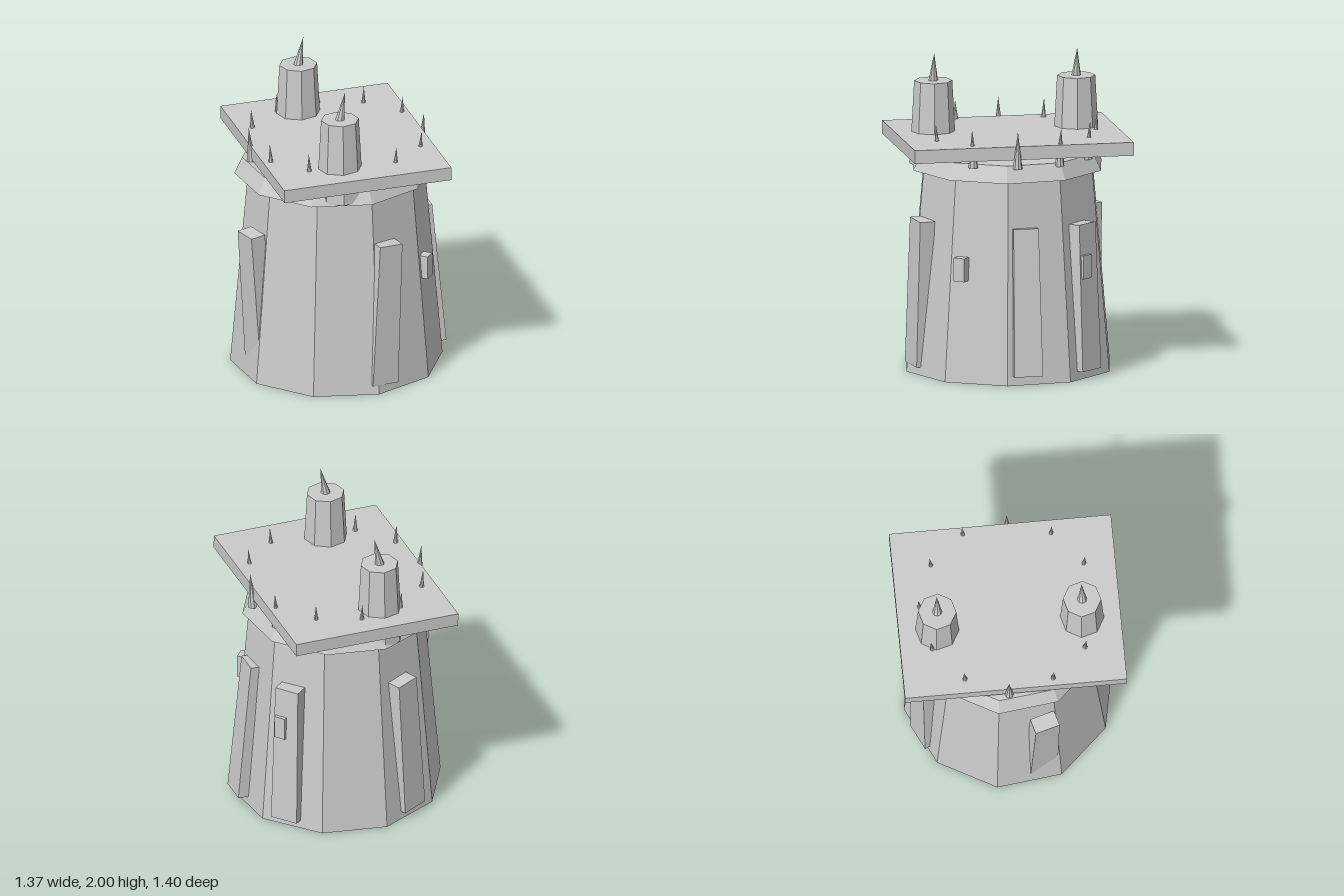
import * as THREE from 'three';

const material = new THREE.MeshStandardMaterial({ color: 0xcccccc, flatShading: true });
const rad = THREE.MathUtils.degToRad;

function add(parent, name, geometry, x = 0, y = 0, z = 0) {
  const mesh = new THREE.Mesh(geometry, material);
  mesh.name = name;
  mesh.position.set(x, y, z);
  parent.add(mesh);
  return mesh;
}

// Frustum from y0 to y1, with its first corner turned by phase degrees from +z
function frustum(rTop, rBottom, y0, y1, sides, phase) {
  return new THREE.CylinderGeometry(rTop, rBottom, y1 - y0, sides)
    .rotateY(rad(phase)).translate(0, (y0 + y1) / 2, 0);
}

// Thin cone with its base at the origin and its tip pushed sideways
function spikeGeometry(radius, height, leanX, leanZ) {
  const g = new THREE.ConeGeometry(radius, height, 8).translate(0, height / 2, 0);
  const p = g.attributes.position;
  for (let i = 0; i < p.count; i++) {
    const t = p.getY(i) / height;
    p.setX(i, p.getX(i) + leanX * t);
    p.setZ(i, p.getZ(i) + leanZ * t);
  }
  g.computeVertexNormals();
  return g;
}

// Box that is slightly wider at its foot
function buttressGeometry() {
  const g = new THREE.BoxGeometry(0.16, 0.935, 0.1);
  const p = g.attributes.position;
  for (let i = 0; i < p.count; i++) {
    if (p.getY(i) < 0) p.setX(i, p.getX(i) * 1.14);
  }
  g.computeVertexNormals();
  return g;
}

export function createModel() {
  const model = new THREE.Group();
  model.name = 'watchtower';

  // Ten-sided body and flared collar
  add(model, 'towerBody', frustum(0.557, 0.67, 0, 1.285, 10, 7), -0.005);
  add(model, 'collar', frustum(0.57, 0.62, 1.28, 1.385, 10, 7), -0.03);

  // Slightly tilted roof slab
  add(model, 'roofSlab', new THREE.BoxGeometry(1.095, 0.085, 1.4), -0.007, 1.455, 0)
    .rotation.z = 0.021;

  // Leaning buttresses: direction, distance, outward lean, sideways lean
  const buttresses = [
    [13, 0.604, -0.01, -0.05],
    [90, 0.595, -0.096, 0],
    [130, 0.61, -0.04, 0],
    [205, 0.61, -0.02, 0.05],
    [-74, 0.607, 0.07, 0],
  ];
  for (const [angle, r, out, side] of buttresses) {
    const pivot = new THREE.Group();
    pivot.name = 'buttress';
    pivot.rotation.y = rad(angle);
    model.add(pivot);
    add(pivot, 'buttressBlock', buttressGeometry(), 0, 0.522, r).rotation.set(out, 0, side);
  }

  // Small window blocks
  for (const [angle, r] of [[50, 0.605], [127, 0.642]]) {
    const a = rad(angle);
    add(model, 'windowBlock', new THREE.BoxGeometry(0.075, 0.15, 0.06),
      Math.sin(a) * r, 0.722, Math.cos(a) * r).rotation.y = a;
  }

  // Front and back turrets, each with a bent spike
  for (const z of [0.457, -0.457]) {
    add(model, 'turret', frustum(0.12, 0.149, 1.29, 1.82, 8, -7), -0.118, 0, z);
    add(model, 'turretSpike', spikeGeometry(0.03, 0.18, 0.033, 0), -0.118, 1.82, z);
  }

  // Ring of spikes around the collar
  for (let i = 0; i < 12; i++) {
    const a = rad(-4.5 + i * 30);
    const sx = Math.sin(a), sz = Math.cos(a);
    add(model, 'rimSpike', spikeGeometry(0.031, 0.245, sx * 0.018, sz * 0.018),
      sx * 0.545 - 0.005, 1.365, sz * 0.545);
  }
  return model;
}
